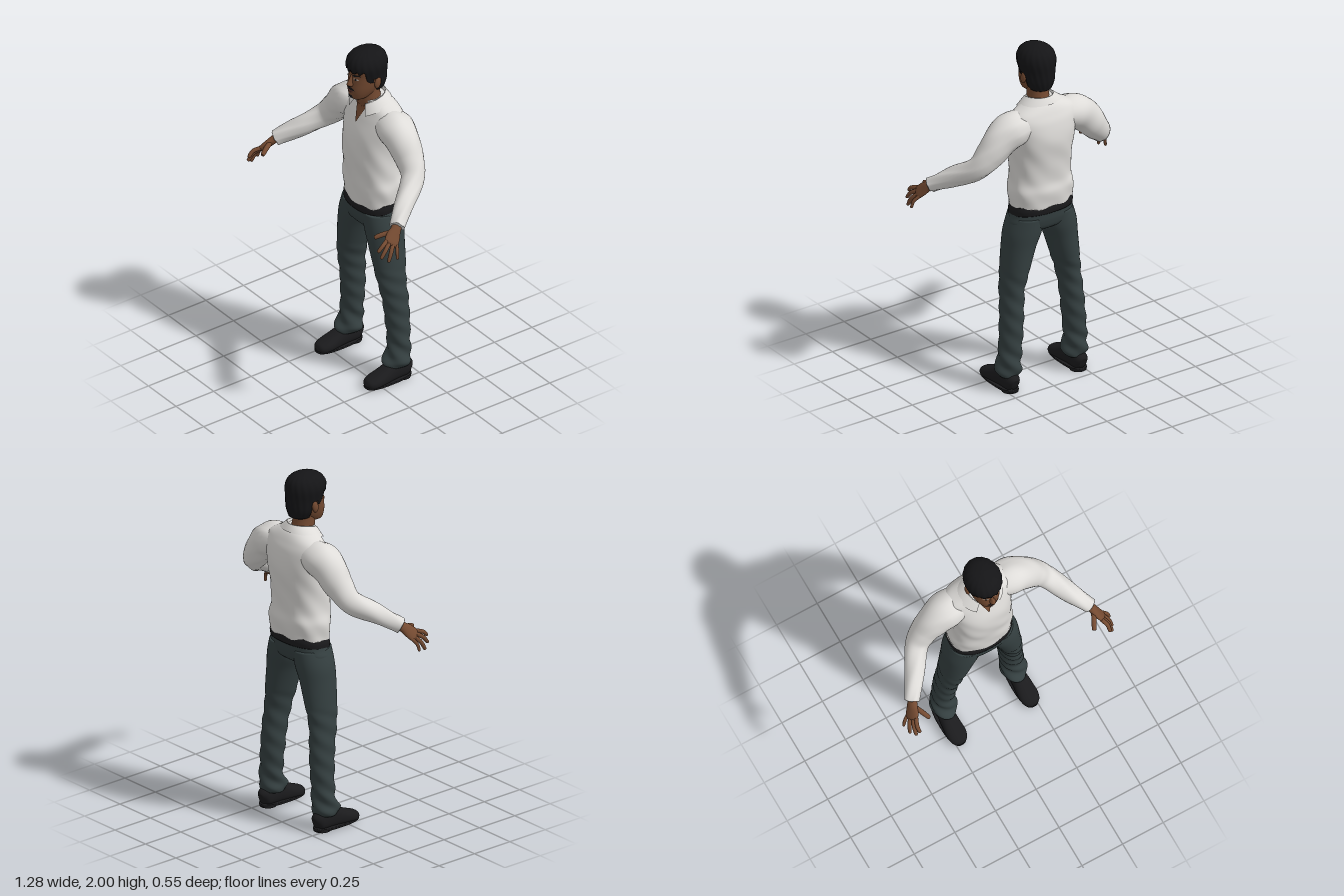
import * as THREE from 'three';

const paint = (name, color, side = THREE.FrontSide) => {
  const m = new THREE.MeshStandardMaterial({ color, side });
  m.name = name;
  return m;
};

// Catmull-Rom interpolation of a list of sections [x, y, z, radiusA, radiusB]
function at(secs, t) {
  const last = secs.length - 1;
  const i = Math.min(Math.floor(t), last - 1), f = t - i;
  const [p, q, r, s] = [-1, 0, 1, 2].map((k) => secs[Math.min(last, Math.max(0, i + k))]);
  return q.map((_, k) => q[k] + 0.5 * f * (r[k] - p[k]
    + f * (2 * p[k] - 5 * q[k] + 4 * r[k] - s[k] + f * (3 * (q[k] - r[k]) + s[k] - p[k]))));
}

// Surface through rows of points; closed rows wrap round and get end caps
function grid(rows, closed) {
  const n = rows[0].length, pos = rows.flat().flatMap((v) => [v.x, v.y, v.z]), idx = [];
  for (let i = 0; i < rows.length - 1; i++) {
    for (let j = 0; j < (closed ? n : n - 1); j++) {
      const k = (j + 1) % n, a = i * n + j, b = i * n + k;
      idx.push(a, b, a + n, b, b + n, a + n);
    }
  }
  if (closed) {
    [0, rows.length - 1].forEach((i) => {
      const c = rows[i].reduce((s, v) => s.add(v), new THREE.Vector3()).divideScalar(n);
      const ci = pos.length / 3;
      pos.push(c.x, c.y, c.z);
      for (let j = 0; j < n; j++) {
        const a = i * n + j, b = i * n + (j + 1) % n;
        if (i) idx.push(a, b, ci); else idx.push(b, a, ci);
      }
    });
  }
  const g = new THREE.BufferGeometry();
  g.setAttribute('position', new THREE.Float32BufferAttribute(pos, 3));
  g.setIndex(idx);
  g.computeVertexNormals();
  return g;
}

// Skin over sections: level rings by default, or rings square to the path when ref is given
function loft(secs, { n = 32, p = 2, ref = null, steps = 6, deform = null } = {}) {
  const rows = [], count = (secs.length - 1) * steps;
  const point = (t) => new THREE.Vector3(...at(secs, t).slice(0, 3));
  for (let i = 0; i <= count; i++) {
    const t = i / steps, s = at(secs, t), c = point(t);
    const axis = ref
      ? point(Math.min(t + 0.05, secs.length - 1)).sub(point(Math.max(t - 0.05, 0))).normalize()
      : new THREE.Vector3(0, 1, 0);
    const u = ref ? ref.clone().addScaledVector(axis, -ref.dot(axis)).normalize() : new THREE.Vector3(1, 0, 0);
    const v = axis.clone().cross(u);
    rows.push(Array.from({ length: n }, (_, j) => {
      const a = (j / n) * Math.PI * 2, bend = (w) => Math.sign(w) * Math.abs(w) ** (2 / p);
      const q = c.clone().addScaledVector(u, s[3] * bend(Math.cos(a))).addScaledVector(v, s[4] * bend(Math.sin(a)));
      if (deform) deform(q, a);
      return q;
    }));
  }
  return grid(rows, true);
}

// Thin plate hugging the front of a level loft; rows are [y, x0, x1] from bottom to top
function patch(secs, p, rows, lift) {
  return grid(rows.map(([y, x0, x1]) => {
    let lo = 0, hi = secs.length - 1;
    for (let k = 0; k < 30; k++) {
      const mid = (lo + hi) / 2;
      if (at(secs, mid)[1] < y) lo = mid; else hi = mid;
    }
    const s = at(secs, lo);
    return Array.from({ length: 11 }, (_, j) => {
      const x = x0 + (x1 - x0) * j / 10;
      const depth = Math.max(0, 1 - Math.abs(x / s[3]) ** p) ** (1 / p);
      return new THREE.Vector3(x, y, s[2] + s[4] * depth + lift);
    });
  }), false);
}

export function createModel() {
  const model = new THREE.Group();
  const skin = paint('brown skin', 0x744a31), black = paint('black hair', 0x151517);
  const white = paint('white cotton', 0xdedcd9, THREE.DoubleSide), slate = paint('slate cloth', 0x354041);
  const leather = paint('dark leather', 0x1b1b1d), lip = paint('lip', 0x54302a), eyeWhite = paint('eye white', 0xb9aea4);
  const add = (name, geo, mat) => {
    const m = new THREE.Mesh(geo, mat);
    m.name = name;
    model.add(m);
  };
  const tilt = (q) => { q.y -= 0.13 * (q.z + 0.125); };

  // Shirt body with soft folds and a sloping hem
  const torso = [
    [0, 1.07, -0.125, 0.18, 0.125], [0, 1.1, -0.125, 0.182, 0.128], [0, 1.17, -0.125, 0.188, 0.133],
    [0, 1.24, -0.12, 0.175, 0.13], [0, 1.35, -0.12, 0.174, 0.139], [0, 1.48, -0.132, 0.184, 0.142],
    [0, 1.58, -0.142, 0.203, 0.118], [0, 1.635, -0.143, 0.19, 0.096], [0, 1.675, -0.137, 0.125, 0.08],
    [0, 1.7, -0.12, 0.08, 0.072]];
  add('shirtBody', loft(torso, {
    n: 56, p: 2.3, deform: (q, a) => {
      const soft = THREE.MathUtils.clamp((1.55 - q.y) / 0.15, 0, 1);
      const hem = THREE.MathUtils.clamp((1.25 - q.y) / 0.17, 0, 1);
      const fold = 1 + 0.022 * soft * Math.sin(5 * a + 14 * q.y) * Math.sin(23 * q.y + 2 * a);
      q.x *= fold;
      q.z = -0.125 + (q.z + 0.125) * fold;
      q.y += hem * (0.005 * Math.sin(9 * a) - 0.13 * (q.z + 0.125));
    },
  }), white);

  // Folded collar, open at the front
  const collarRow = (rx, rz, y0, drop) => Array.from({ length: 41 }, (_, j) => {
    const f = j / 20 - 1, a = f * 2.55;
    return new THREE.Vector3(rx * Math.sin(a), y0 - drop * Math.abs(f) ** 2.5, -0.11 - rz * Math.cos(a));
  });
  add('collar', grid([collarRow(0.068, 0.075, 1.66, 0.02), collarRow(0.072, 0.08, 1.722, 0.04),
    collarRow(0.08, 0.086, 1.722, 0.045), collarRow(0.128, 0.108, 1.686, 0.062)], false), white);

  // Neck and the bare chest in the open collar
  add('neck', loft([[0, 1.6, -0.125, 0.06, 0.06], [0, 1.67, -0.105, 0.061, 0.066],
    [0, 1.74, -0.095, 0.058, 0.062], [0, 1.8, -0.095, 0.06, 0.065]]), skin);
  add('openNeck', patch(torso, 2.3, [0, 1, 2, 3, 4, 5, 6].map((k) =>
    [1.56 + k * 0.02, -0.002 - k * 0.008, 0.002 + k * 0.008]), 0.006), skin);

  // Head
  const head = [
    [0, 1.71, -0.03, 0.018, 0.02], [0, 1.722, -0.033, 0.044, 0.05], [0, 1.75, -0.05, 0.062, 0.075],
    [0, 1.785, -0.066, 0.075, 0.092], [0, 1.825, -0.08, 0.083, 0.1], [0, 1.865, -0.086, 0.086, 0.102],
    [0, 1.91, -0.085, 0.088, 0.104], [0, 1.95, -0.085, 0.074, 0.088], [0, 1.98, -0.085, 0.035, 0.045]];
  add('head', loft(head, { n: 40, p: 2.2 }), skin);
  add('nose', loft([[0, 1.795, 0.012, 0.006, 0.006], [0, 1.803, 0.02, 0.015, 0.016], [0, 1.814, 0.023, 0.017, 0.024],
    [0, 1.835, 0.018, 0.011, 0.02], [0, 1.868, 0.01, 0.007, 0.01]], { n: 16 }), skin);
  const face = (name, rows, mat, lift = 0.003) => add(name, patch(head, 2.2, rows, lift), mat);
  face('moustache', [[1.782, -0.034, 0.034], [1.788, -0.03, 0.03], [1.797, -0.014, 0.014]], black, 0.004);
  face('lips', [[1.766, -0.012, 0.012], [1.773, -0.024, 0.024], [1.781, -0.02, 0.02]], lip, 0.004);
  face('chinBeard', [[1.727, -0.014, 0.014], [1.737, -0.02, 0.02], [1.748, -0.012, 0.012]], black);
  for (const s of [1, -1]) {
    const side = (rows) => rows.map(([y, a, b]) => (s > 0 ? [y, a, b] : [y, -b, -a]));
    face('eyebrow', side([[1.868, 0.013, 0.03], [1.875, 0.013, 0.06], [1.882, 0.035, 0.055]]), black, 0.004);
    face('eye', side([[1.846, 0.025, 0.043], [1.851, 0.018, 0.051], [1.857, 0.024, 0.044]]), eyeWhite);
    face('iris', side([[1.846, 0.03, 0.038], [1.851, 0.027, 0.041], [1.857, 0.029, 0.039]]), black, 0.005);
    const ear = new THREE.SphereGeometry(1, 16, 12);
    ear.scale(0.012, 0.034, 0.02);
    ear.rotateX(-0.2);
    ear.translate(s * 0.09, 1.823, -0.092);
    add('ear', ear, skin);
  }

  // Hair: below the hairline the shell dips inside the skull
  add('hair', loft([
    [0, 1.755, -0.125, 0.06, 0.058], [0, 1.8, -0.107, 0.084, 0.089], [0, 1.86, -0.09, 0.094, 0.111],
    [0, 1.92, -0.084, 0.102, 0.118], [0, 1.962, -0.085, 0.087, 0.103], [0, 1.988, -0.087, 0.055, 0.067],
    [0, 2.0, -0.088, 0.01, 0.012]], {
    n: 72, steps: 8, deform: (q, a) => {
      const turn = Math.atan2(Math.abs(q.x), q.z + 0.09);
      const line = turn < 0.85 ? 1.893 + 0.008 * Math.sin(16 * a) : turn < 1.4 ? 1.823 : turn < 1.8 ? 1.848 : 0;
      const k = q.y < line ? 0.78 : 1 + 0.014 * Math.sin(18 * a + 30 * q.y);
      q.x *= k;
      q.z = -0.09 + (q.z + 0.09) * k;
    },
  }), black);

  // Belt and the seat of the trousers
  add('belt', loft([[0, 1.033, -0.122, 0.183, 0.125], [0, 1.06, -0.124, 0.185, 0.127], [0, 1.086, -0.125, 0.18, 0.122]],
    { n: 48, p: 2.3, deform: tilt }), leather);
  add('trouserSeat', loft([[0, 0.915, -0.118, 0.09, 0.06], [0, 0.94, -0.118, 0.17, 0.1], [0, 0.98, -0.118, 0.198, 0.116],
    [0, 1.02, -0.12, 0.187, 0.12], [0, 1.06, -0.124, 0.178, 0.119]], { n: 48, p: 2.3, deform: tilt }), slate);

  for (const s of [1, -1]) {
    const flip = (secs) => secs.map(([x, ...rest]) => [s * x, ...rest]);

    // Trouser leg with gathered folds near the ankle
    add('trouserLeg', loft(flip([
      [0.215, 0.09, -0.125, 0.06, 0.07], [0.215, 0.12, -0.125, 0.073, 0.08], [0.215, 0.165, -0.136, 0.067, 0.067],
      [0.211, 0.24, -0.142, 0.065, 0.061], [0.202, 0.36, -0.14, 0.064, 0.069], [0.194, 0.48, -0.133, 0.063, 0.074],
      [0.182, 0.6, -0.118, 0.064, 0.083], [0.16, 0.72, -0.115, 0.077, 0.096], [0.135, 0.84, -0.113, 0.091, 0.105],
      [0.112, 0.93, -0.116, 0.104, 0.112], [0.096, 1.02, -0.12, 0.09, 0.112]]), {
      n: 36, deform: (q, a) => {
        const k = q.y < 0.7 ? 0.004 * (q.y < 0.25 ? 1.4 : 0.8) : 0;
        q.x += k * Math.cos(a) * Math.sin(q.y * 60 + 3 * a);
        q.z -= k * Math.sin(a) * Math.sin(q.y * 60 + 3 * a);
      },
    }), slate);

    // Shoe
    add('shoeUpper', loft(flip([
      [0.221, 0.05, -0.207, 0.02, 0.03], [0.221, 0.058, -0.18, 0.043, 0.05], [0.221, 0.062, -0.1, 0.045, 0.058],
      [0.222, 0.048, -0.03, 0.051, 0.045], [0.222, 0.036, 0.03, 0.054, 0.034], [0.222, 0.028, 0.07, 0.04, 0.026],
      [0.222, 0.026, 0.087, 0.012, 0.008]]), {
      ref: new THREE.Vector3(1, 0, 0), p: 2.3, deform: (q) => { q.y = Math.max(q.y, 0.012); },
    }), leather);
    add('shoeSole', loft(flip([[0.222, 0.005, -0.06, 0.05, 0.143], [0.222, 0.012, -0.06, 0.056, 0.149],
      [0.222, 0.022, -0.06, 0.054, 0.147]]), { n: 40, p: 2.6, steps: 2 }), leather);
    const heel = new THREE.CylinderGeometry(0.046, 0.046, 0.02, 28);
    heel.translate(s * 0.222, 0.01, -0.158);
    add('shoeHeel', heel, leather);

    // Sleeve
    add('sleeve', loft(flip([
      [0.11, 1.575, -0.142, 0.09, 0.075], [0.19, 1.56, -0.138, 0.104, 0.096], [0.26, 1.52, -0.133, 0.092, 0.095],
      [0.33, 1.445, -0.128, 0.077, 0.08], [0.395, 1.37, -0.1, 0.064, 0.064], [0.468, 1.298, 0.005, 0.055, 0.055],
      [0.53, 1.24, 0.093, 0.044, 0.044], [0.548, 1.222, 0.118, 0.041, 0.043]]), {
      ref: new THREE.Vector3(0, 0, 1), deform: (q, a) => {
        q.y += 0.004 * Math.sin(4 * a + 50 * q.y);
      },
    }), white);

    // Hand: palm, four fingers and thumb
    const across = new THREE.Vector3(0.376 * s, -0.414, -0.827);
    add('palm', loft(flip([
      [0.538, 1.232, 0.105, 0.028, 0.024], [0.553, 1.21, 0.13, 0.03, 0.022], [0.568, 1.185, 0.158, 0.04, 0.019],
      [0.585, 1.16, 0.182, 0.041, 0.015], [0.59, 1.152, 0.191, 0.032, 0.008]]), { n: 24, ref: across }), skin);
    const digit = (name, a, b, c, r) => add(name, loft(flip([[...a, r, r], [...b, r, r],
      [...c.map((v, k) => b[k] + 0.88 * (v - b[k])), r * 0.8, r * 0.8], [...c, r * 0.25, r * 0.25]]),
    { n: 12, ref: across }), skin);
    [[0.585, 1.135, 0.272], [0.603, 1.1, 0.264], [0.622, 1.075, 0.228], [0.634, 1.082, 0.178]].forEach((tip, k) => {
      const o = (k - 1.5) * 0.02;
      const base = [0.582 + 0.376 * o, 1.163 - 0.414 * o, 0.178 - 0.827 * o];
      const lift = [0.008, 0.008, 0.004];
      digit('finger', base, base.map((v, i) => (v + tip[i]) / 2 + lift[i]), tip, k === 3 ? 0.0095 : 0.0115);
    });
    digit('thumb', [0.555, 1.205, 0.145], [0.527, 1.192, 0.198], [0.506, 1.175, 0.238], 0.014);
  }
  return model;
}
